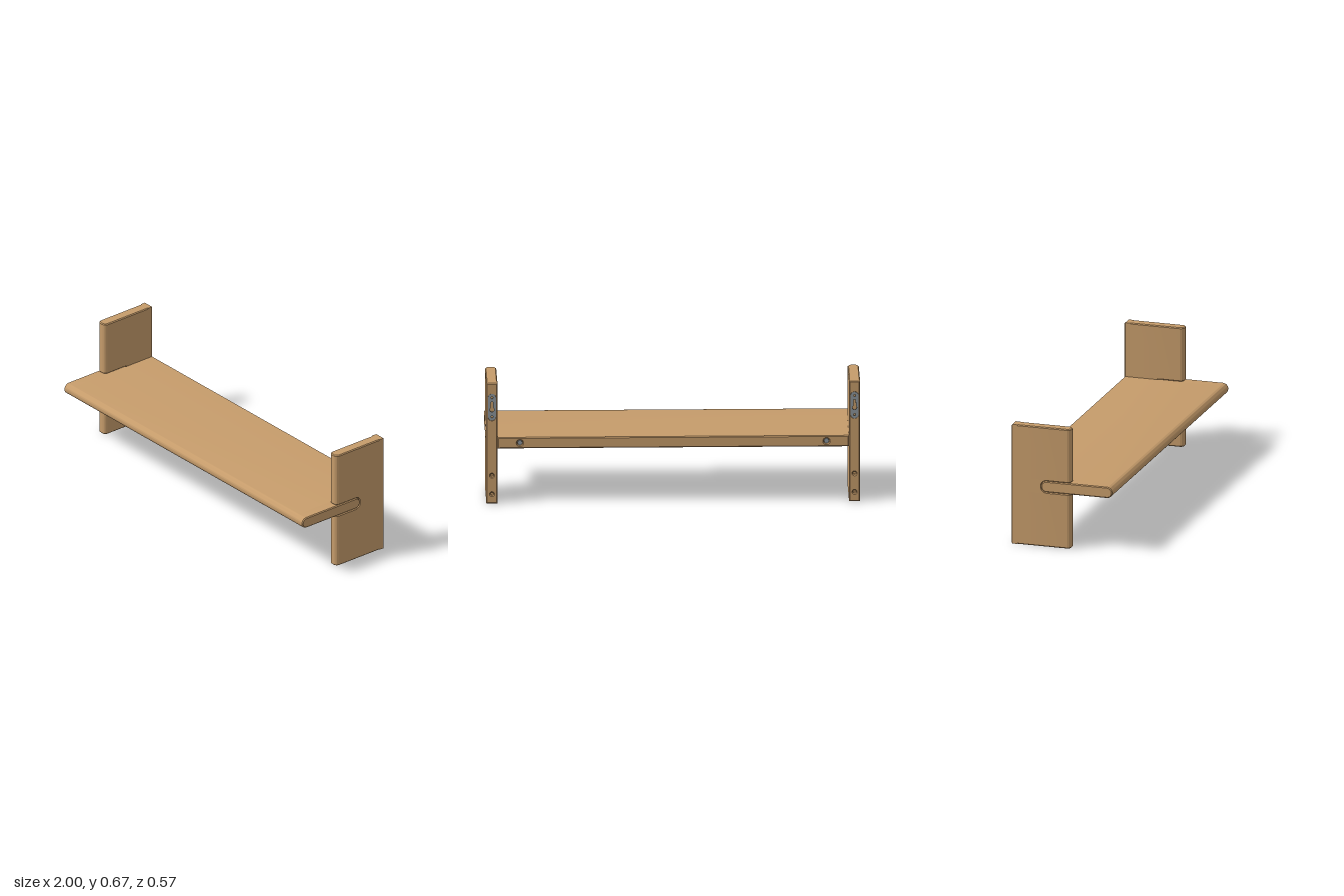
import * as THREE from 'three';
import { toCreasedNormals } from 'three/addons/utils/BufferGeometryUtils.js';

const wood = new THREE.MeshStandardMaterial({ color: 0xc69c6b });
wood.name = 'wood';
const steel = new THREE.MeshStandardMaterial({ color: 0x8d969c });
steel.name = 'steel';

const BEVEL = 0.005;
const BACK = -0.283, JOIN = -0.25, FRONT = 0.05;   // upright depth
const HEIGHT = 0.667, THICK = 0.06;
const MID = 0.335, HALF = 0.0305;                  // shelf centre height and half thickness

// Extrusion of total length len, starting at z = 0, with chamfered ends
function extrude(shape, len, bevel = BEVEL) {
  return new THREE.ExtrudeGeometry(shape, {
    depth: len - 2 * bevel, curveSegments: 12, bevelEnabled: bevel > 0, bevelSegments: 1,
    bevelSize: bevel, bevelThickness: bevel, bevelOffset: -bevel,
  }).translate(0, 0, bevel);
}

function part(name, geometry, material = wood) {
  const mesh = new THREE.Mesh(toCreasedNormals(geometry, 0.6), material);
  mesh.name = name;
  return mesh;
}

// Side profile (z, y) extruded along x and centred on x = 0
const alongX = (shape, len, bevel) =>
  extrude(shape, len, bevel).translate(0, 0, -len / 2).rotateY(-Math.PI / 2);

// Upright capsule outline
function capsule(w, h, cx = 0, cy = 0, Type = THREE.Shape) {
  const s = new Type(), r = w / 2, d = h / 2 - r;
  s.absarc(cx, cy + d, r, 0, Math.PI);
  s.absarc(cx, cy - d, r, Math.PI, 2 * Math.PI);
  s.closePath();
  return s;
}

function circle(r, cx, cy) {
  return new THREE.Path().absarc(cx, cy, r, 0, 2 * Math.PI);
}

// Back strip of a board with drilled holes; only its rear edges are chamfered
function backStrip(w, h, holes) {
  const s = new THREE.Shape([[-w, -h], [w, -h], [w, h], [-w, h]]
    .map(([x, y]) => new THREE.Vector2(x / 2, y / 2)));
  s.holes.push(...holes);
  const g = extrude(s, JOIN - BACK), p = g.attributes.position;
  for (let i = 0; i < p.count; i++) {
    if (p.getZ(i) < 0.02) continue;
    if (Math.abs(p.getX(i)) > w / 2 - 0.006) p.setX(i, Math.sign(p.getX(i)) * w / 2);
    if (Math.abs(p.getY(i)) > h / 2 - 0.006) p.setY(i, Math.sign(p.getY(i)) * h / 2);
  }
  return g.translate(0, 0, BACK);
}

// Upright section between two heights, with rounded front corners
function uprightBlock(y0, y1) {
  const s = new THREE.Shape(), w = THICK / 2, r = 0.024, b = -JOIN + 0.006;
  s.moveTo(w, b);
  s.lineTo(-w, b);
  s.absarc(-w + r, -FRONT + r, r, Math.PI, 1.5 * Math.PI);
  s.absarc(w - r, -FRONT + r, r, 1.5 * Math.PI, 2 * Math.PI);
  s.closePath();
  return extrude(s, y1 - y0).rotateX(-Math.PI / 2).translate(0, y0, 0);
}

function upright() {
  const g = new THREE.Group();
  g.add(part('uprightLower', uprightBlock(0, MID - 0.031)));
  g.add(part('uprightUpper', uprightBlock(MID + 0.031, HEIGHT)));

  // Rounded end of the slot
  const s = new THREE.Shape(), r = 0.036, c = -0.084;
  s.moveTo(JOIN, MID - r);
  s.lineTo(c, MID - r);
  s.absarc(c, MID, r, 1.5 * Math.PI, 0.5 * Math.PI, true);
  s.lineTo(JOIN, MID + r);
  s.closePath();
  g.add(part('slotEnd', alongX(s, THICK, 0)));

  // Rear edge with two peg holes and a pocket for the hanger
  const cy = HEIGHT / 2, hangerY = 0.534;
  g.add(part('uprightBack', backStrip(THICK, HEIGHT, [
    circle(0.009, 0, 0.155 - cy), circle(0.009, 0, 0.052 - cy),
    capsule(0.034, 0.14, 0, hangerY - cy, THREE.Path),
  ]).translate(0, cy, 0)));

  // Keyhole hanger plate
  const plate = capsule(0.042, 0.148);
  const key = new THREE.Path();
  key.absarc(0, -0.014, 0.012, 0.7 * Math.PI, 2.3 * Math.PI);
  key.absarc(0, 0.026, 0.006, 0, Math.PI);
  key.closePath();
  plate.holes.push(key, circle(0.006, 0, 0.053), circle(0.006, 0, -0.053));
  g.add(part('hangerPlate', extrude(plate, 0.004, 0).translate(0, hangerY, BACK + 0.001), steel));
  return g;
}

// Shelf side profile: rounded front, rear square or rounded
function shelfProfile(rear, roundRear) {
  const s = new THREE.Shape(), r = HALF, f = 0.284 - r;
  s.absarc(f, MID, r, -Math.PI / 2, Math.PI / 2);
  if (roundRear) s.absarc(rear + r, MID, r, Math.PI / 2, 1.5 * Math.PI);
  else s.lineTo(rear, MID + r).lineTo(rear, MID - r);
  s.closePath();
  return s;
}

export function createModel() {
  const model = new THREE.Group();
  model.name = 'wallShelf';

  // Shelf board between the uprights
  const inner = 2 - 2 * THICK, screwX = 0.82;
  model.add(part('shelfBoard', alongX(shelfProfile(JOIN, false), inner, 0)));
  model.add(part('shelfBack', backStrip(inner, 2 * HALF,
    [-screwX, screwX].map(x => circle(0.015, x, 0))).translate(0, MID, 0)));

  for (const side of [-1, 1]) {
    const name = side > 0 ? 'left' : 'right';
    const u = upright();
    u.name = name + 'Upright';
    u.position.x = side * (1 - THICK / 2);
    model.add(u);

    // Shelf tongue running through the slot
    const len = THICK + BEVEL;
    model.add(part(name + 'Tongue',
      alongX(shelfProfile(-0.117, true), len).translate(side * (1 - len / 2), 0, 0)));

    // Fixing sunk in the shelf's rear edge
    const screw = new THREE.CylinderGeometry(0.013, 0.013, 0.02, 20).rotateX(Math.PI / 2);
    model.add(part(name + 'Fixing', screw.translate(side * screwX, MID, BACK + 0.016), steel));
  }
  return model;
}
